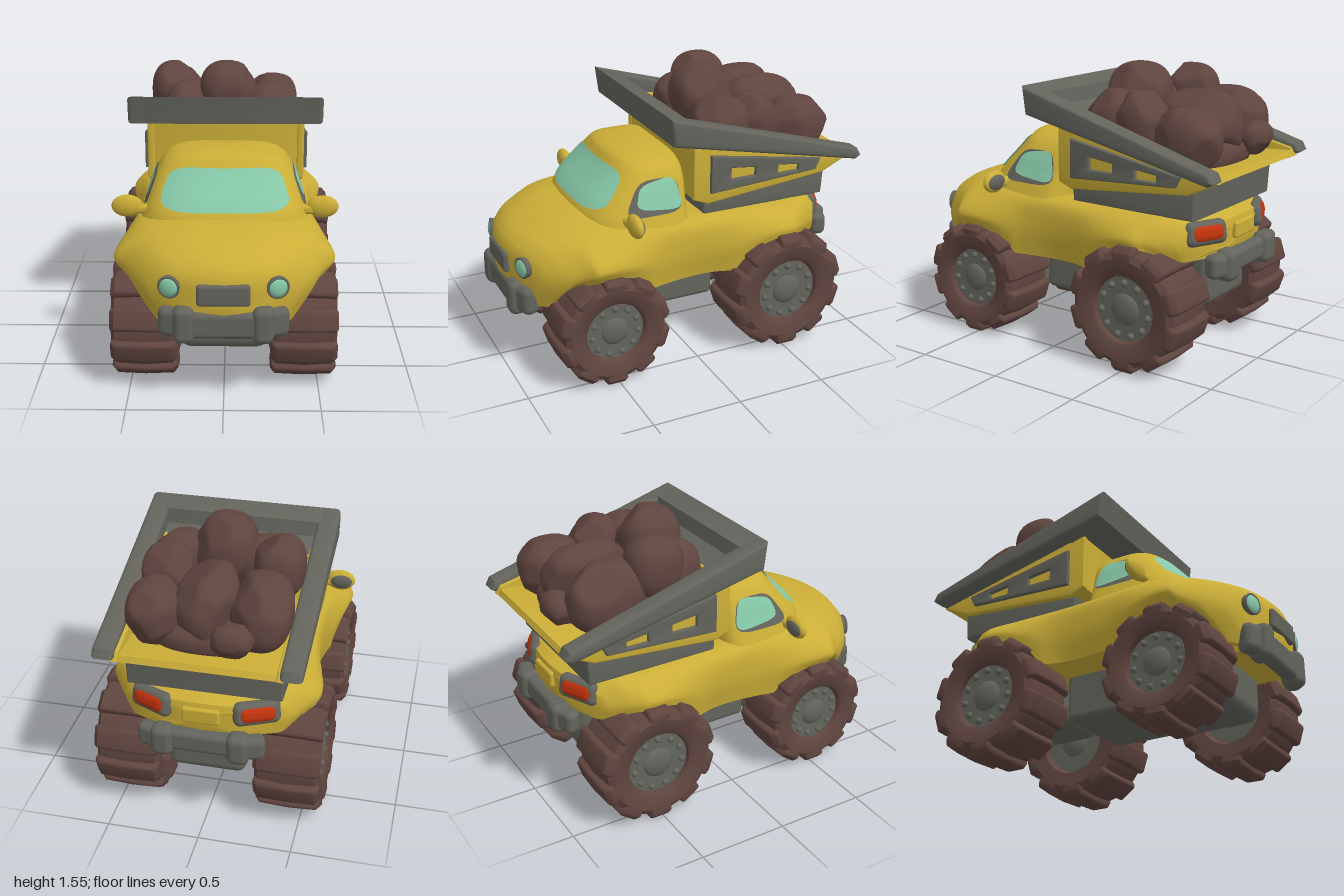
import * as THREE from 'three';
import { mergeVertices, toCreasedNormals } from 'three/addons/utils/BufferGeometryUtils.js';
import { RoundedBoxGeometry } from 'three/addons/geometries/RoundedBoxGeometry.js';

const paint = (name, color, side = THREE.FrontSide) => {
  const m = new THREE.MeshStandardMaterial({ color, side });
  m.name = name;
  return m;
};

export function createModel() {
  const yellow = paint('yellow paint', 0xcbae37);
  const grey = paint('grey metal', 0x64645d, THREE.DoubleSide);
  const brown = paint('brown rubber and rock', 0x60453f);
  const glass = paint('green glass', 0x86c8a8, THREE.DoubleSide);
  const red = paint('red lamp', 0xc2320c);
  const truck = new THREE.Group();

  const add = (name, geo, mat, x = 0, y = 0, z = 0, parent = truck) => {
    const m = new THREE.Mesh(geo, mat);
    m.name = name;
    m.position.set(x, y, z);
    parent.add(m);
    return m;
  };
  const box = (w, h, d, r = 0.03) => new RoundedBoxGeometry(w, h, d, 3, r);
  const polygon = pts => new THREE.Shape(pts.map(p => new THREE.Vector2(...p)));
  const V = (x, y, z) => new THREE.Vector3(x, y, z);

  // Smooth table lookup: rows start with the parameter, sorted upward
  const table = rows => {
    const n = rows[0].length - 1;
    const f = new THREE.CubicInterpolant(rows.map(r => r[0]), rows.flatMap(r => r.slice(1)), n, new Float32Array(n));
    return t => Array.from(f.evaluate(t));
  };
  const mesh = (points, index) => {
    const g = new THREE.BufferGeometry().setFromPoints(points);
    g.setIndex(index);
    g.computeVertexNormals();
    return g;
  };
  const loft = (rings, crease) => {
    const n = rings[0].length, index = [];
    for (let i = 0; i < rings.length - 1; i++) for (let j = 0; j < n; j++) {
      const a = i * n + j, b = i * n + (j + 1) % n;
      index.push(a, b, b + n, a, b + n, a + n);
    }
    return toCreasedNormals(mesh(rings.flat(), index), crease);
  };
  // Side profile of [z, y] points, extruded across x
  const slab = (pts, width, bevel = 0.012, holes = []) => {
    const shape = polygon(pts);
    shape.holes = holes.map(h => new THREE.Path(h.map(p => new THREE.Vector2(...p))));
    const g = new THREE.ExtrudeGeometry(shape, { depth: width - 2 * bevel, bevelEnabled: bevel > 0, bevelSize: bevel,
      bevelThickness: bevel, bevelOffset: -bevel, bevelSegments: 3 });
    return toCreasedNormals(g.translate(0, 0, bevel - width / 2).rotateY(-Math.PI / 2), 0.6);
  };

  // Lower body: z, half width, bottom width, shoulder width, shoulder y, top y, widest y
  const section = table([
    [-0.88, 0.44, 0.39, 0.37, 0.77, 0.79, 0.69], [-0.80, 0.51, 0.48, 0.43, 0.80, 0.825, 0.70],
    [-0.70, 0.54, 0.53, 0.45, 0.81, 0.835, 0.71], [-0.52, 0.565, 0.56, 0.46, 0.81, 0.835, 0.72],
    [-0.30, 0.53, 0.52, 0.46, 0.81, 0.835, 0.69], [-0.10, 0.49, 0.46, 0.46, 0.81, 0.835, 0.66],
    [0.20, 0.50, 0.48, 0.46, 0.82, 0.85, 0.67], [0.38, 0.55, 0.53, 0.46, 0.83, 0.87, 0.68],
    [0.55, 0.58, 0.55, 0.45, 0.82, 0.885, 0.69], [0.70, 0.57, 0.51, 0.43, 0.80, 0.865, 0.68],
    [0.84, 0.51, 0.40, 0.39, 0.77, 0.82, 0.65], [0.92, 0.45, 0.33, 0.34, 0.74, 0.775, 0.63],
    [0.96, 0.38, 0.27, 0.29, 0.70, 0.73, 0.61]]);
  const step = THREE.MathUtils.smoothstep;
  const arch = (z, zc, yc, r) => yc + Math.sqrt(Math.max(0, r * r - (z - zc) ** 2));
  const floorY = z => 0.49 - 0.06 * step(z, 0.4, 0.7) + 0.11 * step(-z, 0.5, 0.8);
  const bottomY = z => Math.max(floorY(z), arch(z, 0.52, 0.325, 0.298), arch(z, -0.52, 0.345, 0.325));
  const bodyRing = (z, scale = 1, dz = 0) => {
    const [w, wb, ws, ys, yt, ym] = section(z), y0 = floorY(z);
    const bend = 0.65 * step(-z, 0.5, 0.88) - 0.7 * step(z, 0.55, 0.95);
    const yb = Math.max(y0, bottomY(z + bend * wb * wb));
    const side = new THREE.CatmullRomCurve3([V(wb, yb, 0), V(w, Math.max(ym, yb + 0.03), 0), V(ws, ys, 0),
      V(ws * 0.5, yt - 0.008, 0), V(0, yt, 0)]).getPoints(20);
    const half = [V(0, y0, 0), V(0.225, y0, 0), V(0.235, yb, 0), ...side];
    const ring = [...half, ...half.slice(1, -1).reverse().map(p => V(-p.x, p.y, 0))];
    const mid = (y0 + yt) / 2;
    return ring.map(p => V(p.x * scale, mid + (p.y - mid) * scale, z + dz + bend * (p.x * scale) ** 2));
  };
  const bodyRings = [bodyRing(-0.88, 0, -0.012), bodyRing(-0.88, 0.6, -0.01)];
  for (let i = 0; i <= 110; i++) bodyRings.push(bodyRing(-0.88 + 1.84 * i / 110));
  bodyRings.push(bodyRing(0.96, 0.6, 0.012), bodyRing(0.96, 0, 0.014));
  add('body', loft(bodyRings, 0.7), yellow);

  // Cab: y, half width, front z, back z
  const cab = table([[0.78, 0.475, 0.60, 0], [0.88, 0.437, 0.58, 0], [0.95, 0.41, 0.53, 0], [1.02, 0.385, 0.46, 0],
    [1.08, 0.355, 0.405, 0.005], [1.12, 0.32, 0.375, 0.015], [1.15, 0.26, 0.345, 0.035], [1.168, 0.15, 0.28, 0.08], [1.175, 0, 0.19, 0.19]]);
  const P = 2.7;
  const cabRings = [];
  for (let i = 0; i <= 40; i++) {
    const y = 0.78 + 0.395 * i / 40, [w, zf, zb] = cab(y), zc = (zf + zb) / 2;
    cabRings.push(Array.from({ length: 64 }, (_, j) => {
      const a = j / 64 * Math.PI * 2, c = Math.cos(a), s = -Math.sin(a), e = s > 0 ? 2 / P : 0.3;
      return V(Math.sign(c) * w * Math.abs(c) ** e, y, zc + Math.sign(s) * (zf - zc) * Math.abs(s) ** e);
    }));
  }
  add('cab', loft(cabRings, 0.8), yellow);

  // Windows: rounded patches laid on the cab surface
  const patch = (outline, project) => {
    const points = [], index = [], N = 40, M = 8;
    const sq = t => Math.sign(t) * Math.abs(t) ** 0.5;
    for (let i = 0; i <= M; i++) for (let j = 0; j < N; j++) {
      const a = j / N * Math.PI * 2, r = i / M;
      points.push(project(...outline(r * sq(Math.cos(a)), r * sq(Math.sin(a)))));
      if (i < M) {
        const p = i * N + j, q = i * N + (j + 1) % N;
        index.push(p, p + N, q + N, p, q + N, q);
      }
    }
    return mesh(points, index);
  };
  const onFront = (x, y) => {
    const [w, zf, zb] = cab(y), zc = (zf + zb) / 2;
    return V(x, y + 0.004, zc + (zf - zc) * (1 - Math.min(1, Math.abs(x / w)) ** P) ** (1 / P) + 0.008);
  };
  const onSide = (s, lift) => (z, y) => {
    const [w, zf, zb] = cab(y), zc = (zf + zb) / 2, t = (z - zc) / (zf - zc), p = t > 0 ? P : 6.67;
    return V(s * (w * (1 - Math.min(1, Math.abs(t)) ** p) ** (1 / p) + lift), y, z);
  };
  add('windshield', patch((u, v) => [u * (0.325 - 0.04 * v), 1.005 + 0.108 * v + 0.012 * (1 - u * u) * -v], onFront), glass);

  for (const s of [1, -1]) {
    add('sideWindowFrame', patch((u, v) => [0.21 + u * (0.14 - 0.035 * v) - 0.02 * v, 0.975 + 0.09 * v], onSide(s, 0.005)), grey);
    add('sideWindow', patch((u, v) => [0.195 + u * (0.12 - 0.02 * v), 0.985 + (0.074 - 0.015 * u) * v], onSide(s, 0.009)), glass);

    // Mirrors
    const ball = new THREE.SphereGeometry(1, 24, 16);
    add('mirrorShell', ball, yellow, s * 0.525, 0.89, 0.385).scale.set(0.085, 0.062, 0.035);
    add('mirrorStalk', box(0.13, 0.05, 0.05, 0.02), yellow, s * 0.445, 0.875, 0.385);
    add('mirrorFace', ball, grey, s * 0.53, 0.89, 0.368).scale.set(0.065, 0.045, 0.024);

    // Lamps
    const head = new THREE.Group();
    head.name = 'headlight';
    head.position.set(s * 0.265, 0.65, 0.9);
    head.rotation.y = s * 0.3;
    truck.add(head);
    add('headlightBase', new THREE.CylinderGeometry(0.056, 0.06, 0.06, 28).rotateX(Math.PI / 2), grey, 0, 0, 0, head);
    add('headlightRing', new THREE.TorusGeometry(0.053, 0.007, 10, 28), grey, 0, 0, 0.03, head);
    add('headlightLens', ball, glass, 0, 0, 0.028, head).scale.set(0.05, 0.05, 0.02);
    const tail = new THREE.Group();
    tail.name = 'taillight';
    tail.position.set(s * 0.275, 0.735, -0.815);
    tail.rotation.set(-0.2, Math.atan2(s * 0.42, -0.9), 0, 'YXZ');
    truck.add(tail);
    add('taillightRim', box(0.25, 0.13, 0.08, 0.038), grey, 0, 0, 0, tail);
    add('taillightLens', box(0.215, 0.106, 0.1, 0.045), red, 0, 0, 0, tail);

    // Bumper ends and uprights
    add('frontBumperUpright', box(0.11, 0.2, 0.12, 0.04), grey, s * 0.2, 0.457, 0.935);
    add('frontBumperEnd', box(0.13, 0.16, 0.1, 0.04), grey, s * 0.265, 0.46, 0.905).rotation.y = s * 0.35;
    add('rearBumperUpright', box(0.12, 0.17, 0.11, 0.04), grey, s * 0.2, 0.565, -0.91);
    add('rearBumperEnd', box(0.13, 0.13, 0.09, 0.035), grey, s * 0.27, 0.57, -0.89).rotation.y = -s * 0.3;
  }
  add('frontBumper', box(0.5, 0.15, 0.09, 0.035), grey, 0, 0.455, 0.935);
  add('rearBumper', box(0.5, 0.12, 0.08, 0.03), grey, 0, 0.57, -0.9);
  add('grille', box(0.27, 0.115, 0.04, 0.018), grey, 0, 0.623, 0.965);
  add('rearPlate', box(0.2, 0.09, 0.03, 0.014), yellow, 0, 0.72, -0.89);

  // Chassis blocks
  add('chassisCentre', box(0.52, 0.3, 0.44, 0.03), grey, 0, 0.39, 0.01);
  add('frontAxleBlock', box(0.48, 0.3, 0.46, 0.07), grey, 0, 0.35, 0.5);
  add('rearAxleBlock', box(0.42, 0.36, 0.5, 0.05), grey, 0, 0.48, -0.55);

  // Wheels: tyre, tread blocks, hub and bolts
  const wheel = (name, x, z, R, h) => {
    const g = new THREE.Group();
    g.name = name;
    g.position.set(x, R, z);
    g.rotation.y = x < 0 ? Math.PI : 0;
    truck.add(g);
    const profile = [[0, -0.7], [0.5, -0.7], [0.57, -0.95], [0.8, -1], [0.89, -0.88], [0.92, 0], [0.89, 0.88],
      [0.8, 1], [0.57, 0.95], [0.53, 0.88], [0.51, 0.6], [0, 0.6]].map(p => new THREE.Vector2(p[0] * R, p[1] * h));
    add('tyre', toCreasedNormals(new THREE.LatheGeometry(profile, 48).rotateZ(-Math.PI / 2), 0.7), brown, 0, 0, 0, g);
    const tread = new THREE.ExtrudeGeometry(polygon([[-1, 0.8], [1, 0.8], [1.02, 0.9], [0.88, 0.985], [0, 1.005], [-0.88, 0.985], [-1.02, 0.9]]
      .map(p => [p[0] * h, p[1] * R])), { depth: 0.26 * R, bevelSize: 0.018, bevelOffset: -0.018, bevelThickness: 0.02, bevelSegments: 3 });
    tread.translate(0, 0, -0.13 * R);
    for (let i = 0; i < 10; i++) add('tread', toCreasedNormals(tread, 0.8), brown, 0, 0, 0, g).rotation.x = i * Math.PI / 5;
    for (const d of [1, -1]) {
      add('hub', new THREE.CylinderGeometry(0.51 * R, 0.51 * R, 0.04, 32).rotateZ(Math.PI / 2), grey, d * 0.66 * h, 0, 0, g);
      add('hubCap', new THREE.SphereGeometry(0.26 * R, 24, 12), grey, d * 0.72 * h, 0, 0, g).scale.x = 0.4;
    }
    const bolt = new THREE.SphereGeometry(0.055 * R, 10, 8);
    for (let i = 0; i < 11; i++) {
      const a = i / 11 * Math.PI * 2;
      add('bolt', bolt, grey, 0.8 * h, Math.cos(a) * 0.42 * R, Math.sin(a) * 0.42 * R, g);
    }
  };
  for (const s of [1, -1]) {
    wheel('frontWheel', s * 0.42, 0.52, 0.317, 0.17);
    wheel('rearWheel', s * 0.435, -0.52, 0.344, 0.175);
  }

  // Dump bed: floor, side walls, slotted panels, rim
  add('bedMount', slab([[-0.07, 0.82], [-0.82, 0.82], [-0.83, 0.98], [-0.07, 0.93]], 0.82), grey);
  add('bedFloor', slab([[0, 1.27], [0, 0.93], [-0.08, 0.9], [-0.8, 0.965], [-0.97, 1.04], [-0.955, 1.07], [-0.12, 1.02], [-0.08, 1.27]], 0.82, 0.004), yellow);
  for (const s of [1, -1]) {
    add('bedSide', slab([[0.005, 1.3], [0.005, 0.93], [-0.08, 0.895], [-0.8, 0.96], [-0.975, 1.04], [-0.95, 1.085]], 0.04, 0.008), yellow, s * 0.42);
    add('bedPanel', slab([[-0.09, 1.175], [-0.09, 0.96], [-0.74, 0.995], [-0.77, 1.055]], 0.03, 0.006, [
      [[-0.21, 1.09], [-0.36, 1.072], [-0.36, 1.022], [-0.21, 1.022]],
      [[-0.5, 1.06], [-0.63, 1.045], [-0.63, 1.008], [-0.5, 1.008]]]), grey, s * 0.448);
    add('rimArm', slab([[0.18, 1.44], [0.16, 1.285], [-0.96, 1.04], [-0.995, 1.06], [-0.97, 1.105]], 0.115, 0.022), grey, s * 0.475);
  }
  add('rimFront', slab([[0.18, 1.44], [0.16, 1.285], [-0.08, 1.225], [-0.085, 1.26], [0.045, 1.325], [0.06, 1.405]], 0.96, 0.015), grey);

  // Rocks: rounded blocks trimmed by seeded planes
  let seed = 7;
  const rand = () => (seed = (seed * 16807) % 2147483647) / 2147483647;
  const rock = () => {
    let g = new THREE.IcosahedronGeometry(1, 9);
    g.deleteAttribute('normal');
    g.deleteAttribute('uv');
    g = mergeVertices(g, 1e-4);
    const planes = Array.from({ length: 12 }, () => [V(rand() - 0.5, rand() - 0.5, rand() - 0.5).normalize(), 0.86 + 0.14 * rand()]);
    const p = g.attributes.position, v = V(0, 0, 0);
    for (let i = 0; i < p.count; i++) {
      v.fromBufferAttribute(p, i).normalize();
      let k = (Math.abs(v.x) ** 2.5 + Math.abs(v.y) ** 2.5 + Math.abs(v.z) ** 2.5) ** (-1 / 2.5);
      for (const [n, h] of planes) k = Math.min(k, h / Math.max(0.01, v.dot(n)));
      p.setXYZ(i, v.x * k, v.y * k, v.z * k);
    }
    g.computeVertexNormals();
    return g;
  };
  // x, y, z, then radii
  for (const [x, y, z, rx, ry, rz] of [
    [-0.26, 1.23, -0.64, 0.16, 0.19, 0.22], [0.01, 1.23, -0.62, 0.165, 0.2, 0.24], [0.27, 1.2, -0.7, 0.15, 0.17, 0.185],
    [-0.3, 1.355, -0.38, 0.135, 0.165, 0.155], [0.28, 1.28, -0.43, 0.135, 0.16, 0.145], [-0.2, 1.25, -0.23, 0.155, 0.19, 0.16],
    [0.01, 1.365, -0.24, 0.165, 0.185, 0.17], [0.26, 1.26, -0.24, 0.155, 0.17, 0.155], [-0.16, 1.17, -0.855, 0.11, 0.09, 0.09],
    [0, 1.1, -0.5, 0.36, 0.13, 0.36]]) add('rock', rock(), brown, x, y, z).scale.set(rx, ry, rz);

  return truck;
}
